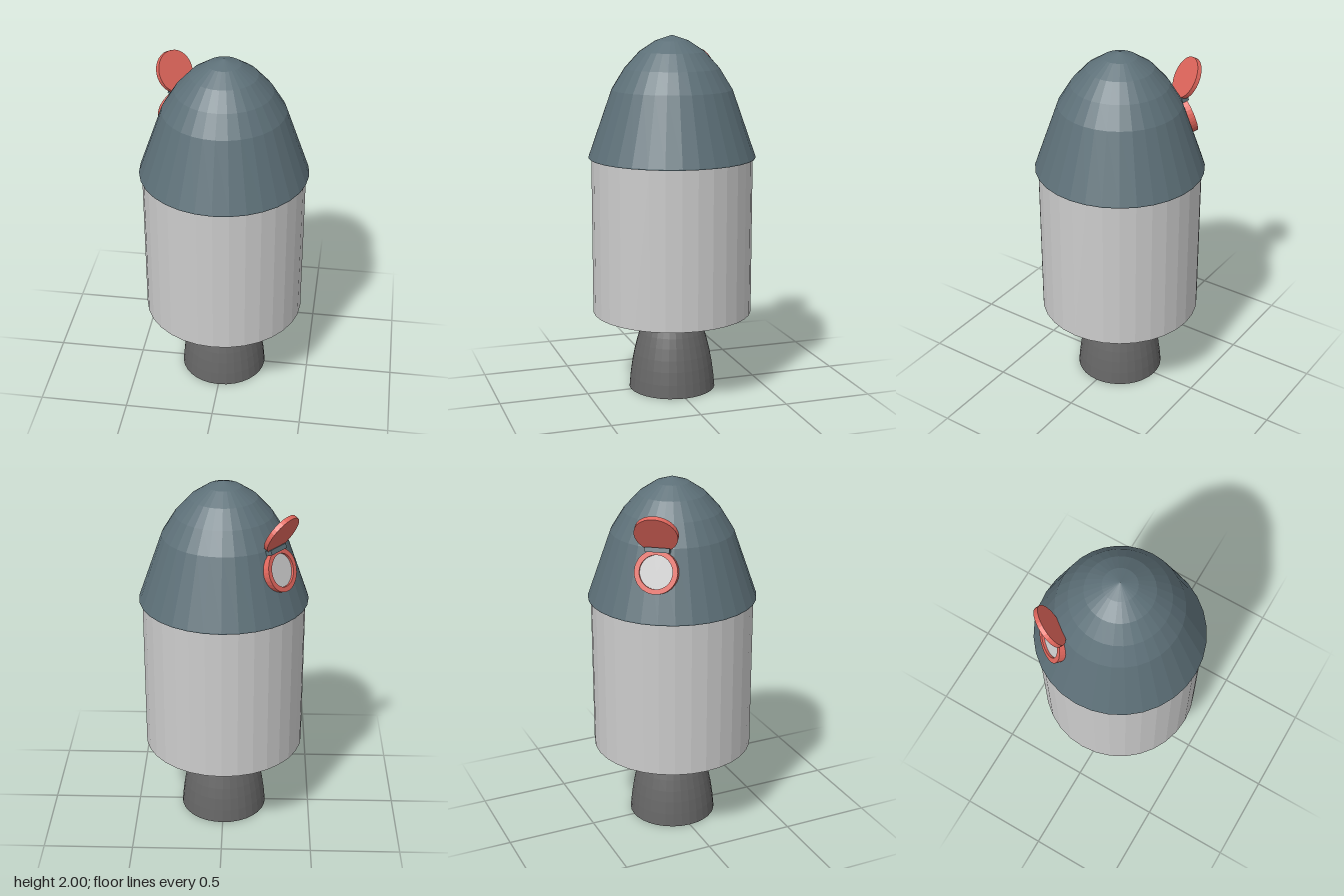
import * as THREE from 'three';

const SIDES = 32;
const material = (color, side = THREE.FrontSide) =>
  new THREE.MeshStandardMaterial({ color, side, flatShading: true });
const grey = material(0xcccccc);
const slate = material(0x5d7078);
const red = material(0xe0665c);
const dark = material(0x666666, THREE.DoubleSide);

function part(name, geometry, mat, parent) {
  const mesh = new THREE.Mesh(geometry, mat);
  mesh.name = name;
  parent.add(mesh);
  return mesh;
}

const lathe = (points) =>
  new THREE.LatheGeometry(points.map(([r, y]) => new THREE.Vector2(r, y)), SIDES);

// Disc whose axis points along +z
const disc = (radius, depth) =>
  new THREE.CylinderGeometry(radius, radius, depth, SIDES).rotateX(Math.PI / 2);

// Open round hatch; local +z points away from the hull
function createHatch() {
  const hatch = new THREE.Group();
  hatch.name = 'hatch';

  const port = new THREE.Group();
  port.name = 'hatchPort';
  port.position.set(0, 1.59, 0.373);
  port.rotation.x = THREE.MathUtils.degToRad(-19);
  hatch.add(port);
  const rim = lathe([[0.115, -0.04], [0.115, 0.02], [0.088, 0.02], [0.088, -0.04]]);
  part('hatchRim', rim.rotateX(Math.PI / 2), red, port);
  part('hatchWindow', disc(0.09, 0.03), grey, port).position.z = -0.008;

  // Lid swung up on its hinge
  const lid = part('hatchLid', disc(0.115, 0.025), red, hatch);
  lid.position.set(0, 1.795, 0.378);
  lid.rotation.x = THREE.MathUtils.degToRad(28);
  const hinge = part('hatchHinge', new THREE.BoxGeometry(0.13, 0.025, 0.04), slate, hatch);
  hinge.position.set(0, 1.7, 0.345);
  hinge.rotation.x = THREE.MathUtils.degToRad(-19);
  return hatch;
}

export function createModel() {
  const model = new THREE.Group();
  model.name = 'spaceCapsule';

  // Engine bell, open at the bottom
  part('engineNozzle', lathe([
    [0.245, 0], [0.238, 0.075], [0.228, 0.147], [0.216, 0.21], [0.2, 0.275],
    [0.184, 0.33], [0.164, 0.385], [0.148, 0.42], [0.132, 0.447], [0.1, 0.452],
  ]), dark, model);

  // Cylindrical service section
  part('body', new THREE.CylinderGeometry(0.447, 0.447, 0.88, SIDES), grey, model)
    .position.y = 0.89;

  // Blunt nose overhanging the body
  part('noseCone', lathe([
    [0, 1.33], [0.463, 1.33], [0.463, 1.336], [0.333, 1.705],
    [0.262, 1.82], [0.18, 1.91], [0.09, 1.97], [0, 2],
  ]), slate, model);

  // Hatch on the rear right of the nose
  const hatch = createHatch();
  hatch.rotation.y = Math.atan2(-0.8, -0.6);
  model.add(hatch);

  return model;
}
